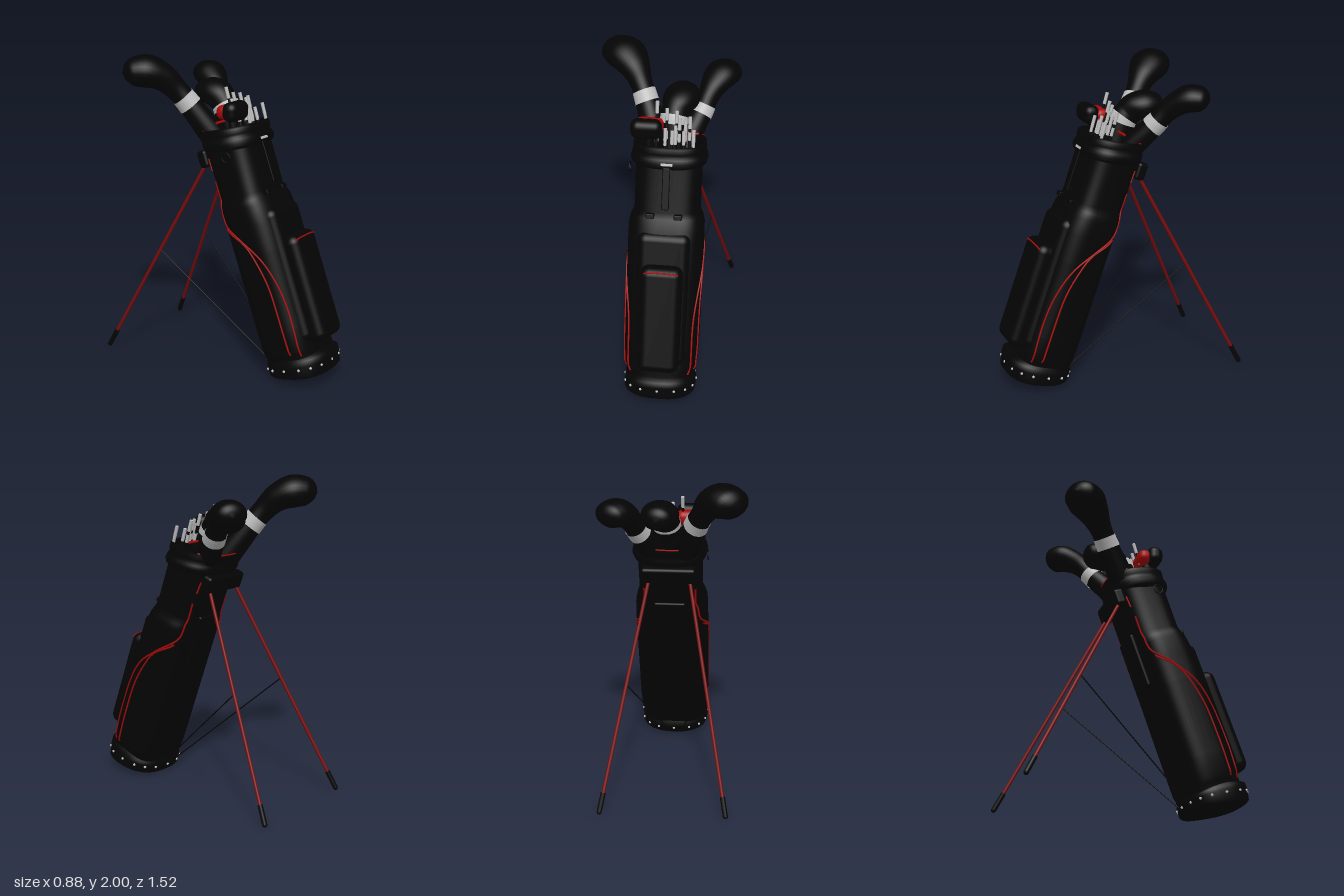
import * as THREE from 'three';
import { RoundedBoxGeometry } from 'three/addons/geometries/RoundedBoxGeometry.js';

const mat = (name, color) => {
  const m = new THREE.MeshStandardMaterial({ color, side: THREE.DoubleSide });
  m.name = name;
  return m;
};
const V = (x, y, z) => new THREE.Vector3(x, y, z);

export function createModel() {
  const black = mat('black fabric', 0x040404);
  const red = mat('red trim', 0xa60808);
  const darkRed = mat('dark red legs', 0x780a0a);
  const silver = mat('silver', 0xbcbcbc);

  const model = new THREE.Group();
  model.name = 'golfBag';
  // The bag leans back; its parts are built upright in this group
  const bag = new THREE.Group();
  bag.name = 'bag';
  bag.position.set(0.04, 0.06, 0.56);
  bag.rotation.x = -0.35;
  model.add(bag);

  const add = (parent, name, geo, material, x = 0, y = 0, z = 0) => {
    const m = new THREE.Mesh(geo, material);
    m.name = name;
    m.position.set(x, y, z);
    parent.add(m);
    return m;
  };
  const box = (parent, name, material, w, h, d, r, x, y, z) =>
    add(parent, name, new RoundedBoxGeometry(w, h, d, 4, r), material, x, y, z);
  const tube = (parent, name, pts, r, material, seg = 40) =>
    add(parent, name, new THREE.TubeGeometry(new THREE.CatmullRomCurve3(pts), seg, r, 6), material);
  const rod = (parent, name, a, b, r0, r1, material, sides = 12) => {
    const d = b.clone().sub(a);
    const m = add(parent, name, new THREE.CylinderGeometry(r1, r0, d.length(), sides), material);
    m.position.copy(a).addScaledVector(d, 0.5);
    m.quaternion.setFromUnitVectors(V(0, 1, 0), d.normalize());
    return m;
  };

  // Skin over a stack of closed rings
  const skin = (rings) => {
    const n = rings[0].length, pos = [], idx = [];
    rings.forEach((ring) => ring.forEach((p) => pos.push(p.x, p.y, p.z)));
    for (let j = 0; j < rings.length - 1; j++) {
      for (let i = 0; i < n; i++) {
        const a = j * n + i, b = j * n + (i + 1) % n;
        idx.push(a, b, b + n, a, b + n, a + n);
      }
    }
    const g = new THREE.BufferGeometry();
    g.setAttribute('position', new THREE.Float32BufferAttribute(pos, 3));
    g.setIndex(idx);
    g.computeVertexNormals();
    return g;
  };
  // Rounded-square ring: height, half width, front depth, back depth, skew
  const ring = ([y, rx, f, b, skew = 0], e, n = 56) => Array.from({ length: n }, (_, i) => {
    const a = (i / n) * Math.PI * 2, s = Math.sin(a), c = Math.cos(a);
    const z = Math.sign(c) * Math.abs(c) ** (2 / e) * (c > 0 ? f : b);
    return V(Math.sign(s) * Math.abs(s) ** (2 / e) * rx, y - skew * z, z);
  });
  const loft = (name, sections, e, material) =>
    add(bag, name, skin(sections.map((s) => ring(s, e))), material);

  // Bag body
  const body = [
    [0.08, 0.205, 0.18, 0.185], [0.13, 0.212, 0.18, 0.185], [0.16, 0.228, 0.185, 0.187],
    [0.3, 0.235, 0.19, 0.185], [0.8, 0.235, 0.19, 0.182], [0.98, 0.235, 0.188, 0.182],
    [1.09, 0.232, 0.172, 0.182], [1.13, 0.222, 0.157, 0.182], [1.17, 0.202, 0.15, 0.182],
    [1.5, 0.202, 0.155, 0.185],
  ];
  loft('body', body, 3, black);
  loft('base', [
    [-0.012, 0, 0, 0, 0.12], [-0.012, 0.215, 0.19, 0.195, 0.12], [0, 0.226, 0.205, 0.205, 0.12],
    [0.06, 0.226, 0.222, 0.205, 0.05], [0.085, 0.222, 0.225, 0.203], [0.11, 0.205, 0.18, 0.185],
  ], 2.5, black);
  loft('collar', [
    [1.46, 0.203, 0.16, 0.183, 0.13], [1.475, 0.228, 0.182, 0.2, 0.13], [1.5, 0.236, 0.19, 0.206, 0.13],
    [1.525, 0.23, 0.186, 0.203, 0.13], [1.54, 0.216, 0.177, 0.192, 0.13], [1.555, 0.222, 0.186, 0.198, 0.13],
    [1.59, 0.222, 0.19, 0.198, 0.13], [1.6, 0.212, 0.18, 0.19, 0.13], [1.595, 0.195, 0.165, 0.172, 0.13],
    [1.53, 0.19, 0.16, 0.17, 0.13], [1.53, 0, 0, 0, 0.13],
  ], 2.5, black);

  // Red edges: the back of the rim and the divider across the mouth
  tube(bag, 'rimPiping', ring([1.6, 0.212, 0.18, 0.19, 0.13], 2.5).slice(18, 39), 0.005, red);
  rod(model, 'mouthDivider', V(-0.14, 1.6, 0), V(0.21, 1.6, 0), 0.008, 0.008, red);

  // Studs round the base
  ring([0.045, 0.228, 0.216, 0.206, 0.08], 2.5, 16).forEach((p) =>
    add(bag, 'stud', new THREE.SphereGeometry(0.009, 8, 6), silver, p.x, p.y, p.z));

  // Front pockets, zip and handle
  box(bag, 'frontPocket', black, 0.26, 0.685, 0.2, 0.055, 0, 0.513, 0.185);
  box(bag, 'upperPocket', black, 0.33, 0.86, 0.12, 0.055, 0, 0.62, 0.142);
  tube(bag, 'zip', [V(-0.105, 0.818, 0.277), V(-0.08, 0.825, 0.282), V(0.08, 0.825, 0.282), V(0.105, 0.818, 0.277)], 0.005, red);
  box(bag, 'handle', black, 0.045, 0.25, 0.014, 0.006, 0, 1.33, 0.178);
  box(bag, 'handleMount', black, 0.045, 0.03, 0.05, 0.006, 0, 1.21, 0.16);
  box(bag, 'badge', silver, 0.072, 0.016, 0.008, 0.003, 0, 1.475, 0.189);
  for (const x of [-0.09, 0.08]) box(bag, 'clip', black, 0.05, 0.03, 0.04, 0.006, x, 1.15, 0.16);
  const loop = add(bag, 'towelRing', new THREE.TorusGeometry(0.03, 0.004, 6, 20), black, -0.236, 1.42, 0.04);
  loop.rotation.y = Math.PI / 2;
  box(bag, 'backPad', black, 0.2, 0.36, 0.03, 0.012, 0, 1.02, -0.181);

  // Piping drawn on both flanks of the body
  const flank = (y, z) => {
    let i = 0;
    while (i < body.length - 2 && body[i + 1][0] < y) i++;
    const k = (y - body[i][0]) / (body[i + 1][0] - body[i][0]);
    const [, rx, f, b] = body[i].map((v, j) => THREE.MathUtils.lerp(v, body[i + 1][j], k));
    const d = Math.min(0.999, Math.abs(z) / (z > 0 ? f : b));
    return rx * (1 - d ** 3) ** (1 / 3) + 0.002;
  };
  const lines = [
    [[0.12, 0.13], [0.36, 0.142], [0.58, 0.127], [0.76, 0.074], [0.905, -0.033], [1.03, -0.136], [1.16, -0.145], [1.29, -0.145]],
    [[0.14, 0.075], [0.385, 0.078], [0.6, 0.07], [0.778, 0.028], [0.88, -0.02], [0.965, -0.107], [0.993, -0.128]],
    [[1.36, -0.15], [1.4, -0.152], [1.44, -0.154]],
  ];
  for (const pts of lines) {
    const curve = new THREE.SplineCurve(pts.map(([y, z]) => new THREE.Vector2(y, z)));
    for (const s of [-1, 1]) {
      tube(bag, 'sidePiping', curve.getPoints(40).map((p) => V(s * flank(p.x, p.y), p.x, p.y)), 0.006, red, 80);
    }
  }

  // Stand: hinge, two legs, rubber feet and struts
  box(bag, 'hinge', black, 0.34, 0.11, 0.07, 0.02, 0, 1.445, -0.198);
  for (const s of [-1, 1]) {
    const top = V(0.035 + s * 0.125, 1.32, -0.115), foot = V(0.035 + s * 0.387, 0.012, -0.75);
    const at = (t) => top.clone().lerp(foot, t);
    rod(model, 'leg', top, at(0.94), 0.011, 0.011, darkRed);
    rod(model, 'foot', at(0.91), at(0.99), 0.016, 0.016, black);
    add(model, 'footTip', new THREE.SphereGeometry(0.016, 12, 8), black).position.copy(at(0.99));
    rod(model, 'strut', at(0.455), V(0.035 + s * 0.06, 0.05, 0.36), 0.004, 0.004, black, 6);
  }

  // Club covers: an oval section swept along a bent path, closed by a round end
  const cover = (name, pts, radii) => {
    const path = new THREE.CatmullRomCurve3(pts.map((p) => V(...p)));
    const size = new THREE.SplineCurve(radii.map((r, i) => new THREE.Vector2(i, r)));
    const dir = path.points[6].clone().sub(path.points[0]).setY(0);
    const side = dir.cross(V(0, 1, 0)).normalize();
    const sweep = (t0, t1, grow) => skin(Array.from({ length: 41 }, (_, j) => {
      const t = THREE.MathUtils.lerp(t0, t1, j / 40);
      const u = Math.max(0, t * 6 - 5), wide = 1 + 0.15 * THREE.MathUtils.smoothstep(t, 0.3, 0.6);
      const r = (size.getPoint(t).y + grow) * Math.sqrt(Math.max(0, 1 - u * u));
      const c = path.getPoint(t), up = path.getTangent(t).cross(side).normalize();
      return Array.from({ length: 28 }, (_, i) => {
        const a = (i / 28) * Math.PI * 2;
        return c.clone().addScaledVector(side, Math.cos(a) * r * wide).addScaledVector(up, Math.sin(a) * r * (2 - wide) ** 0.6);
      });
    }));
    const g = new THREE.Group();
    g.name = name;
    add(g, 'cover', sweep(0, 1, 0), black);
    add(g, 'coverBand', sweep(0.135, 0.21, 0.004), silver);
    model.add(g);
  };
  cover('largeClubCover', [[-0.05, 1.48, -0.07], [-0.145, 1.72, -0.23], [-0.18, 1.79, -0.28], [-0.225, 1.86, -0.34],
    [-0.285, 1.9, -0.41], [-0.345, 1.9, -0.475], [-0.395, 1.89, -0.525]], [0.085, 0.07, 0.072, 0.093, 0.112, 0.1, 0.075]);
  cover('mediumClubCover', [[0.11, 1.46, -0.05], [0.22, 1.66, -0.21], [0.245, 1.72, -0.255], [0.275, 1.775, -0.315],
    [0.315, 1.81, -0.38], [0.355, 1.81, -0.435], [0.39, 1.8, -0.48]], [0.078, 0.066, 0.066, 0.08, 0.093, 0.085, 0.07]);
  cover('smallClubCover', [[0.05, 1.48, 0], [0.055, 1.665, -0.065], [0.06, 1.695, -0.09], [0.075, 1.73, -0.13],
    [0.09, 1.745, -0.19], [0.1, 1.74, -0.25], [0.105, 1.73, -0.305]], [0.085, 0.083, 0.084, 0.094, 0.097, 0.085, 0.07]);

  // Putter cover
  box(model, 'putterCover', black, 0.19, 0.12, 0.1, 0.045, -0.095, 1.68, 0.11);
  box(model, 'putterCoverBack', red, 0.17, 0.09, 0.09, 0.04, -0.083, 1.67, 0.045);
  rod(model, 'putterNeck', V(-0.08, 1.5, 0.1), V(-0.08, 1.66, 0.07), 0.03, 0.03, black);

  // Irons: dark shafts with a silver cap and a silver ferrule
  const irons = [[-0.04, 1.81, 0], [0.02, 1.77, 0.01], [0.08, 1.76, 0.02], [0.1, 1.73, 0.05], [0.135, 1.71, 0.045],
    [0.16, 1.73, 0.025], [0.02, 1.69, 0.11], [0.06, 1.67, 0.1], [0.08, 1.7, 0.09], [0.13, 1.67, 0.1], [0.19, 1.69, 0.115]];
  for (const [x, y, z] of irons) {
    const at = (h) => V(x, h, z + (y - h) * 0.3);
    rod(model, 'ironShaft', at(1.5), at(y - 0.01), 0.008, 0.008, black, 8);
    rod(model, 'ironCap', at(y - 0.07), at(y), 0.011, 0.011, silver, 8);
    rod(model, 'ironFerrule', at(1.59), at(1.64), 0.01, 0.01, silver, 8);
  }
  return model;
}
